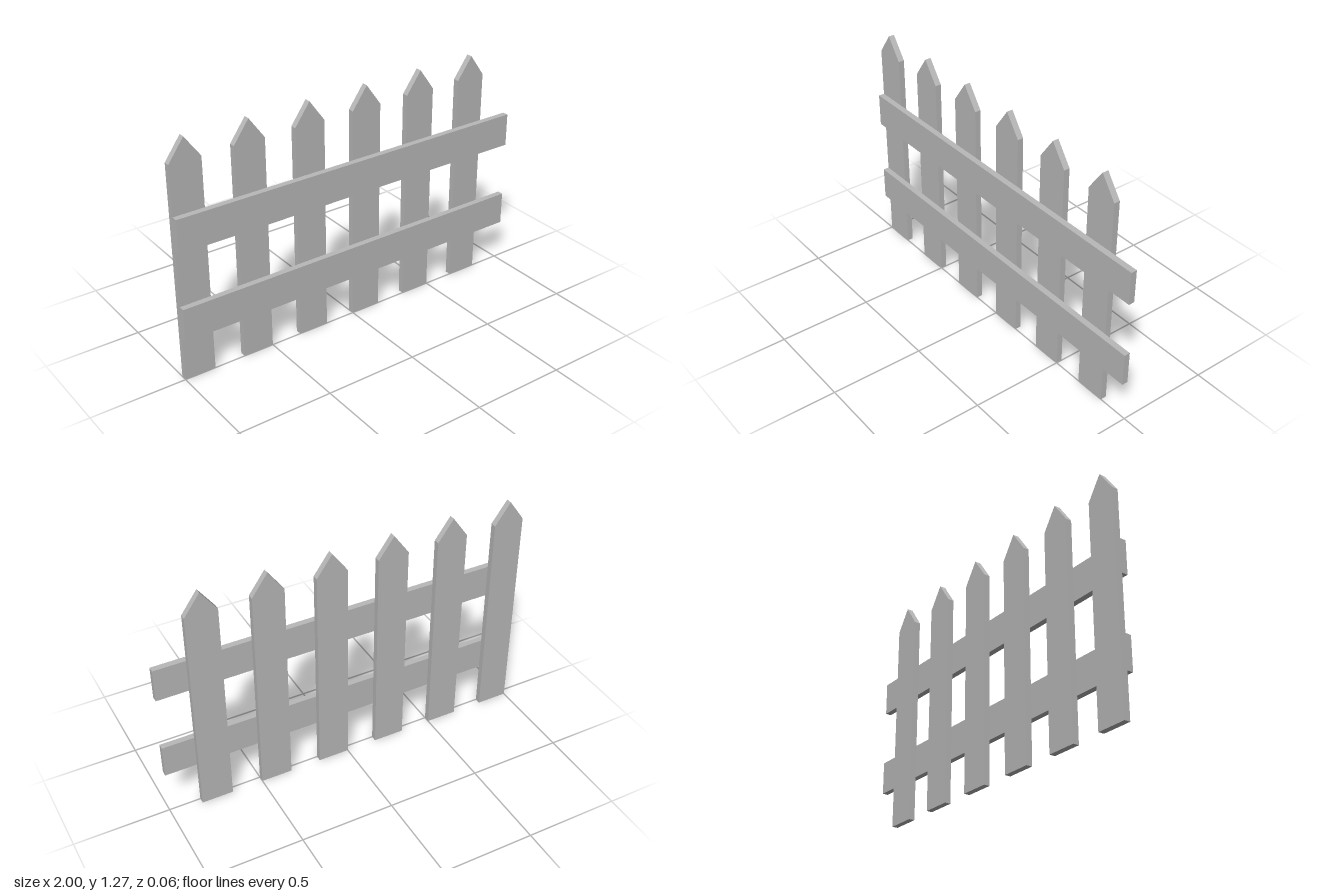
import * as THREE from 'three';

export function createModel() {
  const fence = new THREE.Group();
  fence.name = 'picketFence';
  const grey = new THREE.MeshStandardMaterial({ color: 0xb8b8b8 });
  grey.name = 'plainGrey';

  // Pointed picket outline, extruded to board thickness behind the rails
  const width = 1 / 6, thickness = 0.032;
  const outline = new THREE.Shape([
    new THREE.Vector2(0, 0),
    new THREE.Vector2(width, 0),
    new THREE.Vector2(width, 1.15),
    new THREE.Vector2(width / 2, 1.266),
    new THREE.Vector2(0, 1.15),
  ]);
  const picketGeometry = new THREE.ExtrudeGeometry(outline, { depth: thickness, bevelEnabled: false });

  // Six evenly spaced pickets, starting flush with the rails' right end
  for (let i = 0; i < 6; i++) {
    const picket = new THREE.Mesh(picketGeometry, grey);
    picket.name = `picket${i + 1}`;
    picket.position.set(-1 + i / 3, 0, -thickness);
    fence.add(picket);
  }

  // Two horizontal rails across the front
  const railGeometry = new THREE.BoxGeometry(2, 0.178, thickness);
  for (const [name, y] of [['lowerRail', 0.325], ['upperRail', 0.801]]) {
    const rail = new THREE.Mesh(railGeometry, grey);
    rail.name = name;
    rail.position.set(0, y, thickness / 2);
    fence.add(rail);
  }
  return fence;
}
